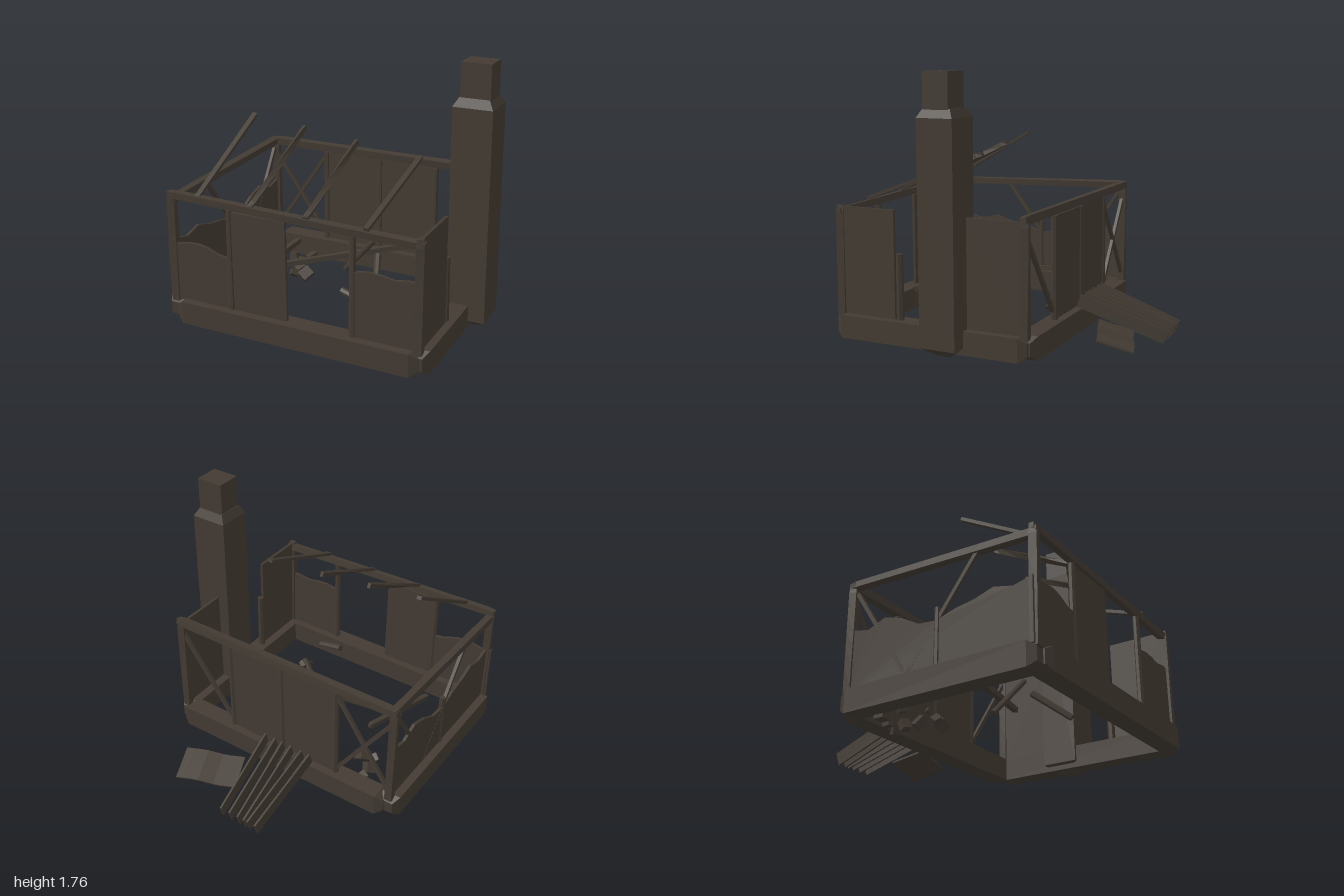
import * as THREE from 'three';

export function createModel() {
  const root = new THREE.Group();
  root.name = 'ruinedCabin';
  const wood = new THREE.MeshStandardMaterial({ color: 0x433b33, flatShading: true });
  wood.name = 'charredWood';

  function add(name, geometry, parent = root) {
    const mesh = new THREE.Mesh(geometry, wood);
    mesh.name = name;
    parent.add(mesh);
    return mesh;
  }

  function group(name) {
    const g = new THREE.Group();
    g.name = name;
    root.add(g);
    return g;
  }

  // Lay a mesh whose length runs along z between two points
  function lay(mesh, a, b) {
    const p = new THREE.Vector3(...a), q = new THREE.Vector3(...b);
    mesh.position.copy(p).add(q).multiplyScalar(0.5);
    mesh.lookAt(q);
    return mesh;
  }

  const span = (a, b) => Math.hypot(b[0] - a[0], b[1] - a[1], b[2] - a[2]);

  // Squared timber; ends shrink to `ends` over `bevel`, and it can twist along its length
  function beam(name, a, b, w, h, { ends = [1, 1], bevel = 0.05, twist = 0, parent = root } = {}) {
    const len = span(a, b), segs = twist ? 7 : 3;
    const geo = new THREE.BoxGeometry(w, h, len, 1, 1, segs);
    const pos = geo.attributes.position;
    for (let i = 0; i < pos.count; i++) {
      const ring = Math.round((pos.getZ(i) / len + 0.5) * segs);
      const k = ring === 0 ? ends[0] : ring === segs ? ends[1] : 1;
      const angle = twist * ring / segs;
      const x = pos.getX(i) * k, y = pos.getY(i) * k;
      let z = pos.getZ(i);
      if (ring === 1) z = -len / 2 + bevel;
      if (ring === segs - 1) z = len / 2 - bevel;
      pos.setXYZ(i, x * Math.cos(angle) - y * Math.sin(angle), x * Math.sin(angle) + y * Math.cos(angle), z);
    }
    geo.computeVertexNormals();
    return lay(add(name, geo, parent), a, b);
  }

  // Rough round log
  function log(name, a, b, r, parent = root) {
    const geo = new THREE.CylinderGeometry(r, r * 1.1, span(a, b), 7).rotateX(Math.PI / 2);
    return lay(add(name, geo, parent), a, b);
  }

  // Wall sheet from u0 to u1 with a top edge given as evenly spaced heights
  function panel(name, u0, u1, tops, parent) {
    const shape = new THREE.Shape();
    shape.moveTo(u0, 0.19);
    shape.lineTo(u1, 0.19);
    for (let i = tops.length - 1; i >= 0; i--) {
      shape.lineTo(u0 + (u1 - u0) * i / (tops.length - 1), tops[i]);
    }
    const geo = new THREE.ExtrudeGeometry(shape, { depth: 0.02, bevelEnabled: false });
    return add(name, geo.translate(0, 0, -0.01), parent);
  }

  const L = -0.895, R = 0.78, F = 0.925, B = -0.365;

  // Foundation sills with tapered ends
  const sills = group('foundation');
  const sillEnds = { ends: [0.55, 0.55], parent: sills };
  beam('frontSill', [-0.87, 0.125, F], [0.79, 0.125, F], 0.13, 0.15, sillEnds);
  beam('backSill', [-0.87, 0.125, B], [0.79, 0.125, B], 0.13, 0.15, sillEnds);
  beam('rightSill', [L, 0.125, -0.39], [L, 0.125, 0.95], 0.13, 0.15, sillEnds);
  beam('leftSill', [0.775, 0.125, -0.39], [0.775, 0.125, 0.95], 0.13, 0.15, sillEnds);

  // Corner posts and intermediate studs
  const frame = group('frame');
  for (const x of [L, R]) for (const z of [F, B]) {
    beam('cornerPost', [x, 0.18, z], [x, 0.9, z], 0.05, 0.05, { ends: [1, 0.8], twist: 0.25, parent: frame });
  }
  for (const z of [F, B]) {
    for (const x of [-0.48, -0.06, 0.355]) {
      if (z === F && x === -0.06) continue;
      log('stud', [x, 0.19, z], [x + 0.005, 0.86, z], 0.021, frame);
    }
  }
  log('brokenStud', [0.775, 0.19, 0.5], [0.775, 0.62, 0.5], 0.023, frame);
  log('rightStud', [L, 0.19, 0.28], [L, 0.58, 0.28], 0.02, frame);

  // Top plates; one side has lost its plate
  const plateEnds = { ends: [0.75, 0.75], twist: 0.2, parent: frame };
  beam('frontPlate', [-0.92, 0.9, F], [0.81, 0.86, F], 0.045, 0.045, plateEnds);
  beam('backPlate', [-0.92, 0.895, B], [0.81, 0.895, B], 0.055, 0.05, plateEnds);
  beam('rightPlate', [L, 0.86, 0.95], [L, 0.9, -0.39], 0.05, 0.045, plateEnds);

  // Diagonal braces
  const braces = [
    [[-0.9, 0.82, B], [-0.49, 0.23, B]], [[-0.48, 0.84, B], [-0.88, 0.25, B]],
    [[0.79, 0.83, B], [0.38, 0.26, B]],
    [[L, 0.86, 0.55], [L, 0.22, 0.07]], [[L, 0.84, -0.33], [L, 0.24, 0.05]],
  ];
  for (const [a, b] of braces) beam('brace', a, b, 0.022, 0.025, { parent: frame });

  // Wall sheets, whole and broken
  const front = group('frontWall');
  front.position.z = F;
  panel('brokenSheet', -0.935, -0.49, [0.59, 0.575, 0.59, 0.595, 0.58, 0.55, 0.54], front);
  panel('tallSheet', -0.46, -0.085, [0.85, 0.85], front);
  panel('brokenSheet', 0.37, 0.8, [0.62, 0.635, 0.63, 0.615, 0.63, 0.62], front);
  const back = group('backWall');
  back.position.z = B;
  panel('tallSheet', -0.47, -0.07, [0.87, 0.87], back);
  panel('tallSheet', -0.04, 0.345, [0.86, 0.86], back);
  const leftWall = group('leftWall');
  leftWall.position.x = R;
  leftWall.rotation.y = -Math.PI / 2;
  panel('tallSheet', 0.53, 0.92, [0.895, 0.895], leftWall);
  panel('tallSheet', -0.36, 0.03, [0.885, 0.885], leftWall);
  const rightWall = group('rightWall');
  rightWall.position.x = L;
  rightWall.rotation.y = -Math.PI / 2;
  panel('brokenSheet', -0.36, 0.92, [0.6, 0.57, 0.62, 0.58, 0.51, 0.5, 0.54, 0.56, 0.6, 0.57, 0.6], rightWall);

  // Chimney stack and pot
  const chimney = group('chimney');
  beam('stack', [0.82, 0.04, 0.14], [0.82, 1.535, 0.14], 0.255, 0.24,
    { ends: [0.4, 0.75], bevel: 0.055, parent: chimney });
  add('pot', new THREE.BoxGeometry(0.19, 0.23, 0.17), chimney).position.set(0.825, 1.635, 0.145);

  // Surviving rafters leaning in from the front plate
  const rafters = group('rafters');
  [[-0.7, -0.665, 1.28], [-0.32, -0.295, 1.235], [0.06, 0.075, 1.19], [0.45, 0.505, 1.145]].forEach(([x0, x1, y], i) => {
    beam('rafter', [x0, 0.9, 0.94], [x1, y, 0.28], 0.034, 0.022,
      { twist: i === 1 || i === 2 ? 1.6 : 0.1, parent: rafters });
  });

  // Fallen timbers inside
  const debris = group('fallenTimbers');
  beam('longTimber', [-0.57, 0.23, 0.34], [0.48, 0.45, -0.07], 0.035, 0.035, { ends: [0.7, 0.7], bevel: 0.02, parent: debris });
  beam('longTimber', [-0.5, 0.32, 0.02], [-0.61, 0.22, 0.64], 0.035, 0.035, { ends: [0.7, 0.7], bevel: 0.02, parent: debris });
  log('shortLog', [-0.09, 0.22, 0.12], [0.16, 0.5, 0.2], 0.018, debris);
  log('shortLog', [0.2, 0.42, 0.23], [0.29, 0.23, 0.47], 0.022, debris);
  log('shortLog', [0.14, 0.33, 0.64], [0.33, 0.28, 0.66], 0.022, debris);

  // Rubble in the back corner
  const rubble = group('rubble');
  const stones = [
    [-0.8, -0.18, 0.075], [-0.69, -0.23, 0.06], [-0.56, -0.27, 0.075], [-0.59, -0.18, 0.065],
    [-0.57, -0.08, 0.075], [-0.47, 0, 0.085], [-0.55, 0.02, 0.06], [-0.81, -0.03, 0.05], [-0.71, 0.09, 0.03],
  ];
  stones.forEach(([x, z, s], i) => {
    const stone = add('stone', new THREE.BoxGeometry(s, s * 0.75, s * 0.9), rubble);
    stone.position.set(x, 0.055, z);
    stone.rotation.set(i * 0.9, i * 1.7, i * 0.5);
  });

  // Collapsed boards on edge behind the back sill
  const boards = group('collapsedBoards');
  const ends = [[-0.31, -0.285], [-0.245, -0.225], [-0.16, -0.195], [-0.09, -0.145], [-0.03, -0.08], [0.05, -0.01]];
  for (const [x0, x1] of ends) {
    beam('board', [x0, 0.255, -0.41], [x1, 0.06, -0.98], 0.013, 0.09, { parent: boards });
  }

  // Loose roof sheet with a gentle warp
  const sheet = new THREE.BoxGeometry(0.42, 0.012, 0.235, 8, 1, 1);
  const p = sheet.attributes.position;
  for (let i = 0; i < p.count; i++) p.setY(i, p.getY(i) + 0.008 * Math.sin(p.getX(i) * 22));
  sheet.computeVertexNormals();
  const roofSheet = add('looseRoofSheet', sheet);
  roofSheet.position.set(0.272, 0.115, -0.745);
  roofSheet.rotation.set(-0.3, 0.34, 0, 'YXZ');

  return root;
}
